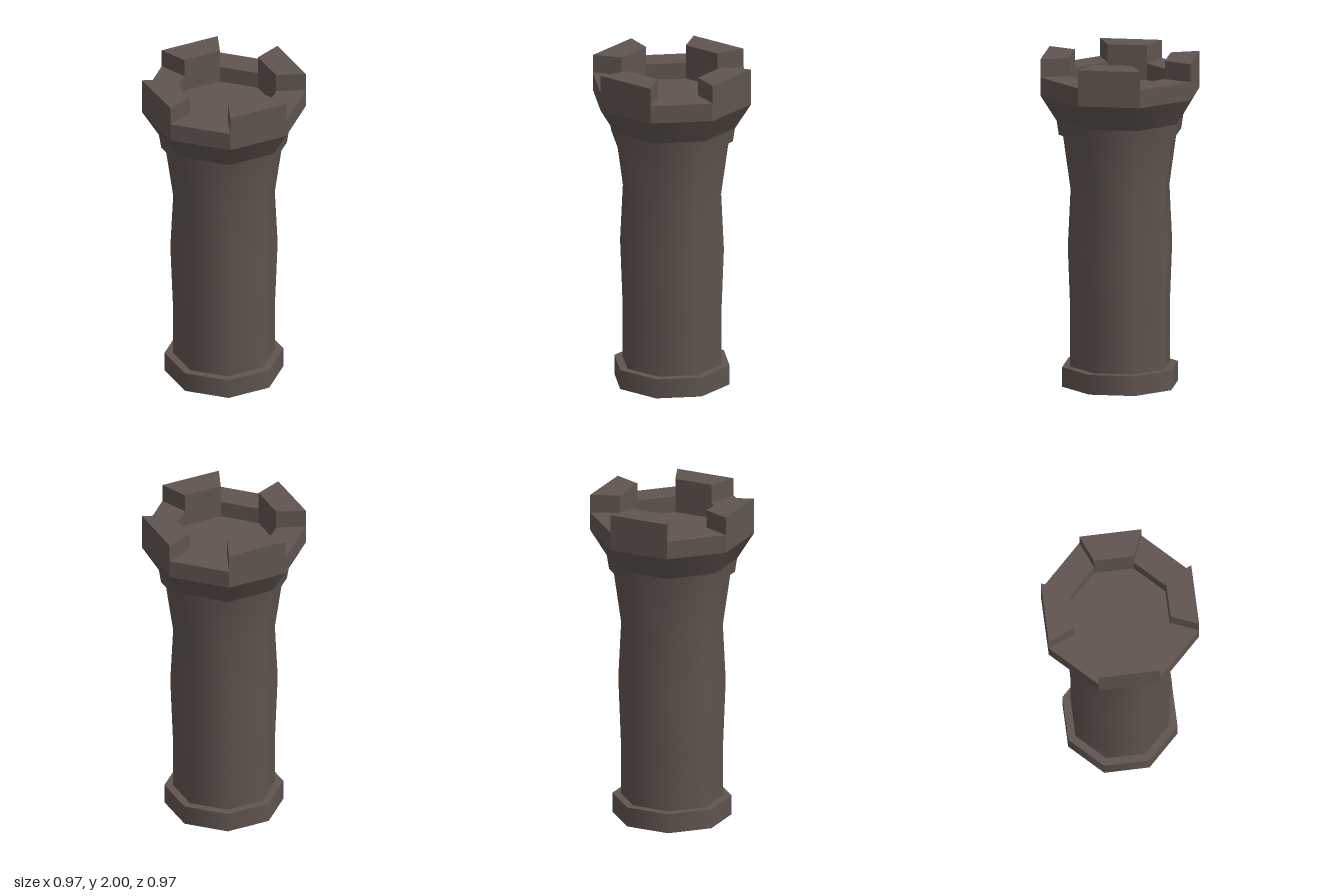
import * as THREE from 'three';

const SIDES = 8;
const TWIST = 0.102; // the octagon is turned slightly off axis

export function createModel() {
  const model = new THREE.Group();
  model.name = 'tower';
  const stone = new THREE.MeshStandardMaterial({ color: 0x60554f, side: THREE.DoubleSide });
  stone.name = 'brown stone';

  const add = (name, geometry) => {
    const mesh = new THREE.Mesh(geometry, stone);
    mesh.name = name;
    model.add(mesh);
  };
  // Eight-sided shell, smooth around, from [radius, height] pairs
  const shell = (name, profile) => add(name, new THREE.LatheGeometry(
    profile.map(([r, y]) => new THREE.Vector2(r, y)), SIDES, TWIST));

  // Hollow tower, open underneath; separate shells keep the rims sharp
  shell('baseWall', [[0.355, 0], [0.355, 0.12]]);
  shell('baseLedge', [[0.355, 0.12], [0.305, 0.12]]);
  shell('shaft', [[0.305, 0.12], [0.305, 0.46], [0.32, 0.85], [0.303, 1.2], [0.35, 1.535]]);
  shell('collarUnderside', [[0.35, 1.535], [0.375, 1.535]]);
  shell('collar', [[0.375, 1.535], [0.388, 1.62]]);
  shell('flare', [[0.388, 1.62], [0.488, 1.78]]);

  add('battlements', battlements(0.488, 0.311));
  return model;
}

// Parapet ring with alternating high and low sides around a sunken floor
function battlements(outer, inner) {
  const bottom = 1.78, floor = 1.79, low = 1.89, high = 2;
  const positions = [];
  const point = (r, i, y) => {
    const a = TWIST + (i * Math.PI * 2) / SIDES;
    return [r * Math.sin(a), y, r * Math.cos(a)];
  };
  const quad = (a, b, c, d) => positions.push(...a, ...b, ...c, ...a, ...c, ...d);

  for (let i = 0; i < SIDES; i++) {
    const j = i + 1;
    const top = i % 2 === 0 ? high : low;
    // outer face, inner face, top
    quad(point(outer, i, bottom), point(outer, j, bottom), point(outer, j, top), point(outer, i, top));
    quad(point(inner, j, floor), point(inner, i, floor), point(inner, i, top), point(inner, j, top));
    quad(point(outer, i, top), point(outer, j, top), point(inner, j, top), point(inner, i, top));
    // floor wedge
    positions.push(0, floor, 0, ...point(inner, i, floor), ...point(inner, j, floor));
    // both ends of a raised block
    if (top === high) {
      quad(point(inner, i, low), point(outer, i, low), point(outer, i, high), point(inner, i, high));
      quad(point(outer, j, low), point(inner, j, low), point(inner, j, high), point(outer, j, high));
    }
  }
  const geometry = new THREE.BufferGeometry();
  geometry.setAttribute('position', new THREE.Float32BufferAttribute(positions, 3));
  geometry.computeVertexNormals();
  return geometry;
}
